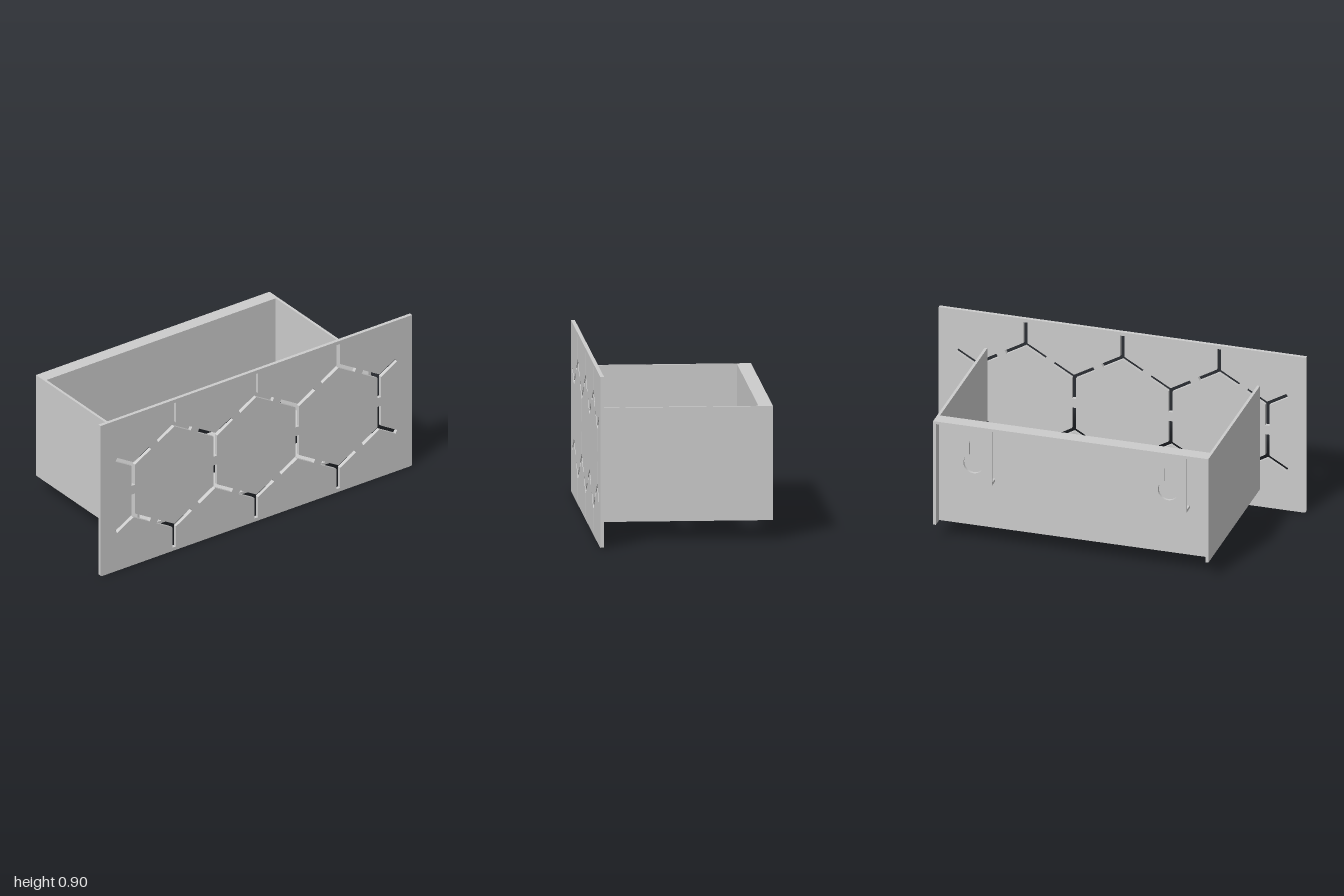
import * as THREE from 'three';

const material = new THREE.MeshStandardMaterial({ color: 0xcccccc, flatShading: true, side: THREE.DoubleSide });
const T = 0.015; // sheet thickness of the box

function add(parent, name, geometry) {
  const mesh = new THREE.Mesh(geometry, material);
  mesh.name = name;
  parent.add(mesh);
  return mesh;
}

// Box given by its minimum and maximum corners
function slab(parent, name, [x0, y0, z0], [x1, y1, z1]) {
  const mesh = add(parent, name, new THREE.BoxGeometry(x1 - x0, y1 - y0, z1 - z0));
  mesh.position.set((x0 + x1) / 2, (y0 + y1) / 2, (z0 + z1) / 2);
  return mesh;
}

// Three-armed slot; up = 1 points one arm up, -1 points it down
function ySlot(cx, cy, up) {
  const length = 0.126, half = 0.011, points = [];
  for (let i = 0; i < 3; i++) {
    const a = up * Math.PI / 2 + i * Math.PI * 2 / 3;
    const c = Math.cos(a), s = Math.sin(a);
    const notch = a + Math.PI / 3, d = half / Math.sin(Math.PI / 3);
    points.push(
      new THREE.Vector2(cx + length * c + half * s, cy + length * s - half * c),
      new THREE.Vector2(cx + length * c - half * s, cy + length * s + half * c),
      new THREE.Vector2(cx + d * Math.cos(notch), cy + d * Math.sin(notch)));
  }
  return new THREE.Path(points);
}

// Front panel with slots at the corners of three hexagons side by side
function frontPanel() {
  const R = 0.304, w = R * Math.cos(Math.PI / 6), midY = 0.45, r = 0.006;
  const shape = new THREE.Shape([[-1 + r, 0], [1 - r, 0], [1, r], [1, 0.9], [-1, 0.9], [-1, r]]
    .map(([x, y]) => new THREE.Vector2(x, y)));
  for (const side of [1, -1]) {
    for (let i = -3; i <= 3; i++) {
      const apex = i % 2 === 0;
      shape.holes.push(ySlot(i * w, midY + side * (apex ? R : R / 2), apex ? side : -side));
    }
  }
  return new THREE.ExtrudeGeometry(shape, { depth: 0.02, bevelEnabled: false });
}

// Hanging plate with a keyhole, centred on x = 0
function keyholePlate() {
  const shape = new THREE.Shape([[-0.1, 0.37], [0.1, 0.37], [0.1, 0.7 - T], [-0.1, 0.7 - T]]
    .map(([x, y]) => new THREE.Vector2(x, y)));
  const R = 0.055, h = 0.023, cy = 0.485, topY = 0.6;
  const a = Math.acos(h / R);
  const hole = new THREE.Path();
  hole.absarc(0, cy, R, Math.PI - a, 2 * Math.PI + a, false);
  hole.absarc(0, topY, h, 0, Math.PI, false);
  hole.closePath();
  shape.holes.push(hole);
  return new THREE.ExtrudeGeometry(shape, { depth: T, bevelEnabled: false, curveSegments: 24 });
}

export function createModel() {
  const model = new THREE.Group();
  model.name = 'wallBox';

  add(model, 'frontPanel', frontPanel()).position.z = 0.44;

  // Box walls and the lip above the recessed back
  const inner = 0.75 - T;
  slab(model, 'leftWall', [inner, 0.1, -0.46], [0.75, 0.7, 0.44]);
  slab(model, 'rightWall', [-0.75, 0.1, -0.46], [-inner, 0.7, 0.44]);
  slab(model, 'backWall', [-inner, 0.1, -0.385 - T], [inner, 0.7 - T, -0.385]);
  slab(model, 'backLip', [-inner, 0.7 - T, -0.46], [inner, 0.7, -0.385]);

  // Floor slats
  for (const [z0, z1] of [[-0.275, -0.025], [0.08, 0.33]]) {
    slab(model, 'floorSlat', [-inner, 0.1, z0], [inner, 0.1 + T, z1]);
  }

  // Hanging brackets behind the back wall
  for (const side of [-1, 1]) {
    const bracket = new THREE.Group();
    bracket.name = side > 0 ? 'leftBracket' : 'rightBracket';
    bracket.position.x = side * 0.53;
    add(bracket, 'keyholePlate', keyholePlate()).position.z = -0.46;
    slab(bracket, 'bracketFoot', [-0.1, 0.37, -0.46 + T], [0.1, 0.37 + T, -0.385 - T]);
    model.add(bracket);
  }
  return model;
}
